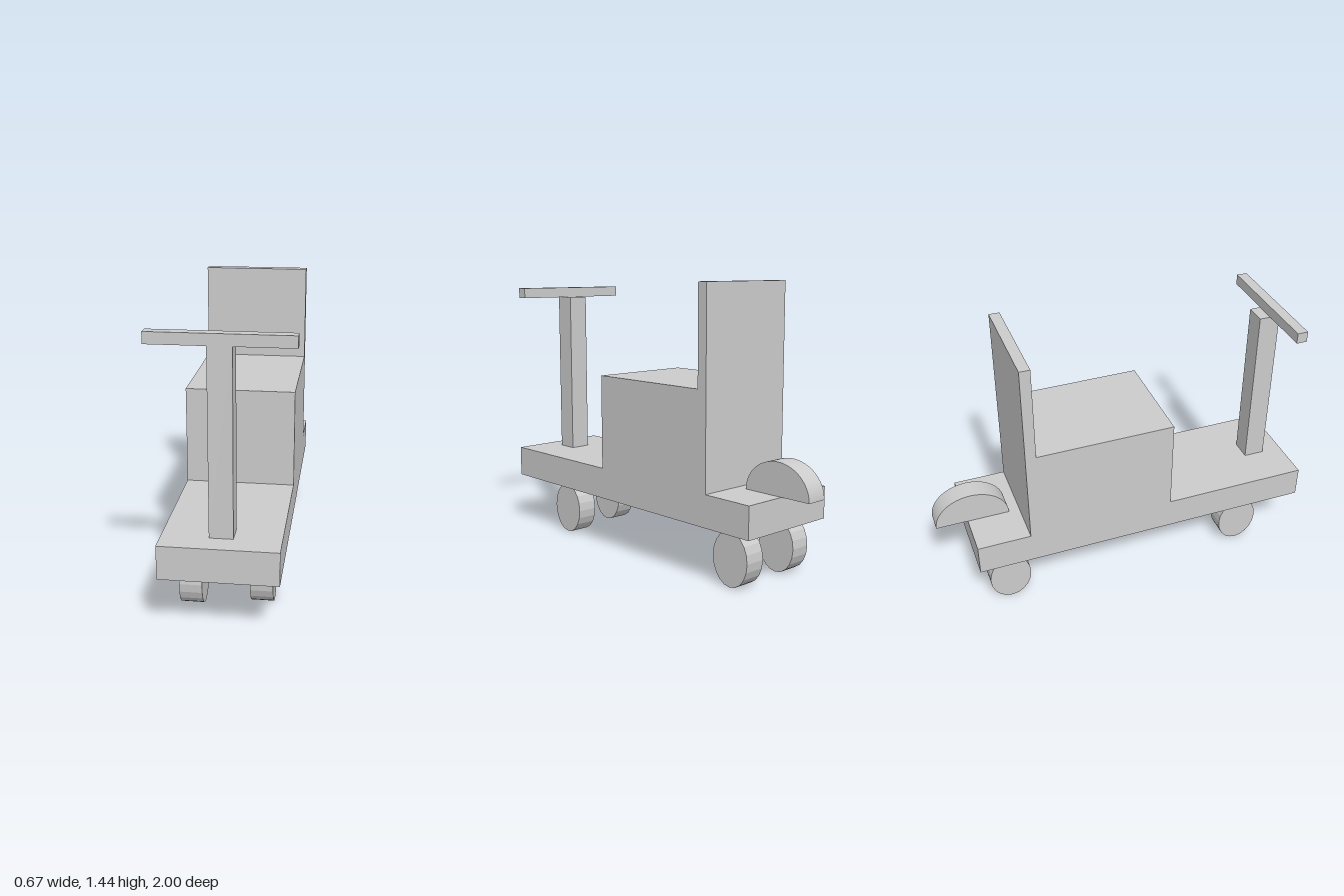
import * as THREE from 'three';

const material = new THREE.MeshStandardMaterial({ color: 0xcccccc, flatShading: true });

export function createModel() {
  const group = new THREE.Group();

  const add = (name, geometry) => {
    const mesh = new THREE.Mesh(geometry, material);
    mesh.name = name;
    group.add(mesh);
    return mesh;
  };

  // Box given by half width in x and its ranges in y and z
  const box = (name, halfX, y0, y1, z0, z1) =>
    add(name, new THREE.BoxGeometry(halfX * 2, y1 - y0, z1 - z0))
      .position.set(0, (y0 + y1) / 2, (z0 + z1) / 2);

  // Body
  box('deck', 0.278, 0.28, 0.445, -0.833, 1);
  box('seat', 0.278, 0.445, 0.945, -0.5, 0.222);
  box('backrest', 0.278, 0.445, 1.445, -0.555, -0.5);

  // Steering
  box('steeringPost', 0.056, 0.445, 1.335, 0.778, 0.889);
  box('handlebar', 0.333, 1.335, 1.39, 0.834, 0.889);

  // Oval wheels; the front pair is slightly staggered
  const wheel = (name, x, z) => {
    const geometry = new THREE.CylinderGeometry(1, 1, 0.111, 20);
    geometry.rotateZ(Math.PI / 2).scale(1, 0.139, 0.111);
    add(name, geometry).position.set(x, 0.14, z);
  };
  wheel('frontLeftWheel', 0.167, 0.613);
  wheel('frontRightWheel', -0.167, 0.668);
  wheel('backLeftWheel', 0.167, -0.666);
  wheel('backRightWheel', -0.167, -0.666);

  // Solid half-oval fender over the tail of the deck
  const arch = new THREE.Shape();
  arch.absellipse(0, 0, 0.194, 0.166, 0, Math.PI, false);
  arch.closePath();
  const fender = new THREE.ExtrudeGeometry(arch, { depth: 0.112, bevelEnabled: false, curveSegments: 20 });
  fender.translate(0, 0, -0.056).rotateY(Math.PI / 2);
  add('rearFender', fender).position.set(0, 0.446, -0.806);

  return group;
}
